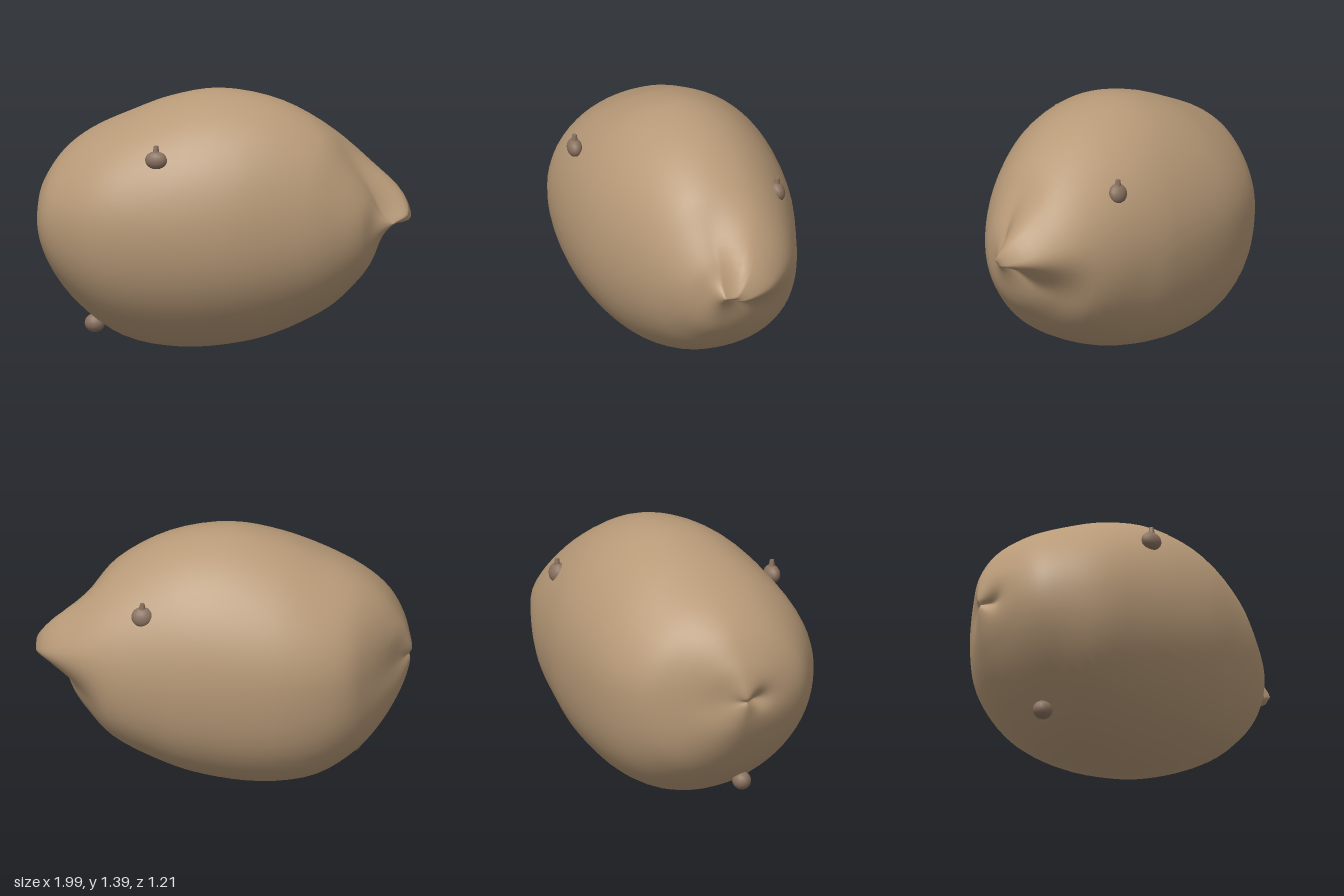
import * as THREE from 'three';

const CY = 0.7, CZ = -0.02; // long axis of the body

// Lengthwise profiles [x, distance from axis], matched point by point
const up = [[-.985, 0], [-1, .03], [-.98, .13], [-.94, .22], [-.85, .35], [-.71, .46], [-.5, .56], [-.3, .64],
  [-.03, .693], [.3, .64], [.57, .49], [.7, .33], [.8, .18], [.86, .06], [.92, 0]];
const down = [[-.985, 0], [-.99, .03], [-.97, .12], [-.93, .22], [-.85, .36], [-.73, .5], [-.5, .65], [-.2, .695],
  [.1, .66], [.3, .6], [.57, .46], [.7, .34], [.78, .24], [.86, .07], [.92, 0]];
const front = [[-.985, 0], [-.945, .06], [-.965, .17], [-.95, .28], [-.9, .39], [-.8, .48], [-.6, .59], [-.33, .62],
  [-.05, .6], [.2, .54], [.5, .4], [.65, .3], [.78, .18], [.84, .07], [.92, 0]];
const back = [[-.985, 0], [-.965, .04], [-.92, .12], [-.86, .23], [-.79, .34], [-.69, .46], [-.53, .54], [-.3, .585],
  [.1, .575], [.3, .54], [.6, .46], [.72, .32], [.8, .2], [.85, .08], [.92, 0]];

// The upper back quarter runs out into a beak
const upBeak = [...up.slice(0, 10), [.57, .5], [.75, .35], [.94, .18], [.99, .05], [.92, 0]];
const backBeak = [...back.slice(0, 10), [.6, .465], [.8, .375], [.95, .24], [.99, .09], [.92, 0]];

const curve = (pts) => new THREE.CatmullRomCurve3(pts.map(([x, r]) => new THREE.Vector3(x, r, 0)));

function bodyGeometry() {
  const STEPS = 56, AROUND = 64;
  const [U, D, F, B, UB, BB] = [up, down, front, back, upBeak, backBeak].map(curve);
  // Vertical profile, horizontal profile, fullness at the left and right end of each quarter
  const quarters = [[U, F, 0, 0], [U, B, -.035, -.035], [D, B, .065, .03], [D, F, 0, 0]];
  const pos = [], index = [];
  for (let i = 0; i <= STEPS; i++) {
    const u = i / STEPS;
    for (let j = 0; j < AROUND; j++) {
      const a = (j / AROUND) * Math.PI * 2, c = Math.cos(a), s = Math.sin(a);
      const [vertical, horizontal, k0, k1] = quarters[Math.floor((j * 4) / AROUND)];
      const swell = 1 + THREE.MathUtils.lerp(k0, k1, u) * Math.sin(2 * a) ** 2;
      const blend = (vCurve, hCurve, k) => {
        const v = vCurve.getPoint(u), h = hCurve.getPoint(u);
        return new THREE.Vector3(v.x * s * s + h.x * c * c, v.y * s * k, h.y * c * k);
      };
      const p = blend(vertical, horizontal, swell);
      const deg = THREE.MathUtils.radToDeg(a);
      const w = THREE.MathUtils.smoothstep(deg, 82, 120) * (1 - THREE.MathUtils.smoothstep(deg, 162, 216));
      if (w > 0) p.lerp(blend(deg > 180 ? D : UB, deg < 90 ? F : BB, 1 + (swell - 1) * (1 - u)), w);
      pos.push(p.x, CY + p.y, CZ + p.z);
      if (i < STEPS) {
        const n = (j + 1) % AROUND, o = i * AROUND;
        index.push(o + j, o + AROUND + j, o + n, o + AROUND + j, o + AROUND + n, o + n);
      }
    }
  }
  const g = new THREE.BufferGeometry();
  g.setAttribute('position', new THREE.Float32BufferAttribute(pos, 3));
  g.setIndex(index);
  g.computeVertexNormals();
  return g;
}

export function createModel() {
  const model = new THREE.Group();
  const skin = new THREE.MeshStandardMaterial({ color: 0xb89a78 });
  skin.name = 'tan skin';
  const budColor = new THREE.MeshStandardMaterial({ color: 0x8a7260 });
  budColor.name = 'brown bud';

  const body = new THREE.Mesh(bodyGeometry(), skin);
  body.name = 'body';
  model.add(body);

  // Small buds: a flattened ball with a short stem
  const ball = new THREE.SphereGeometry(1, 16, 10);
  const stem = new THREE.CylinderGeometry(.012, .02, .05, 8);
  const buds = [
    { at: [-.25, 1.09, .51], size: [.06, .048, .04], tilt: 0 },
    { at: [.41, 1.04, -.43], size: [.058, .054, .041], tilt: .3 },
    { at: [-.67, .13, .11], size: [.055, .05, .05], tilt: 0 },
  ];
  for (const { at, size, tilt } of buds) {
    const bud = new THREE.Group();
    bud.name = 'bud';
    const knob = new THREE.Mesh(ball, budColor);
    knob.name = 'budKnob';
    knob.scale.set(...size);
    knob.rotation.x = tilt;
    const tip = new THREE.Mesh(stem, budColor);
    tip.name = 'budStem';
    tip.position.y = .052;
    bud.add(knob, tip);
    bud.position.set(...at);
    model.add(bud);
  }
  return model;
}
